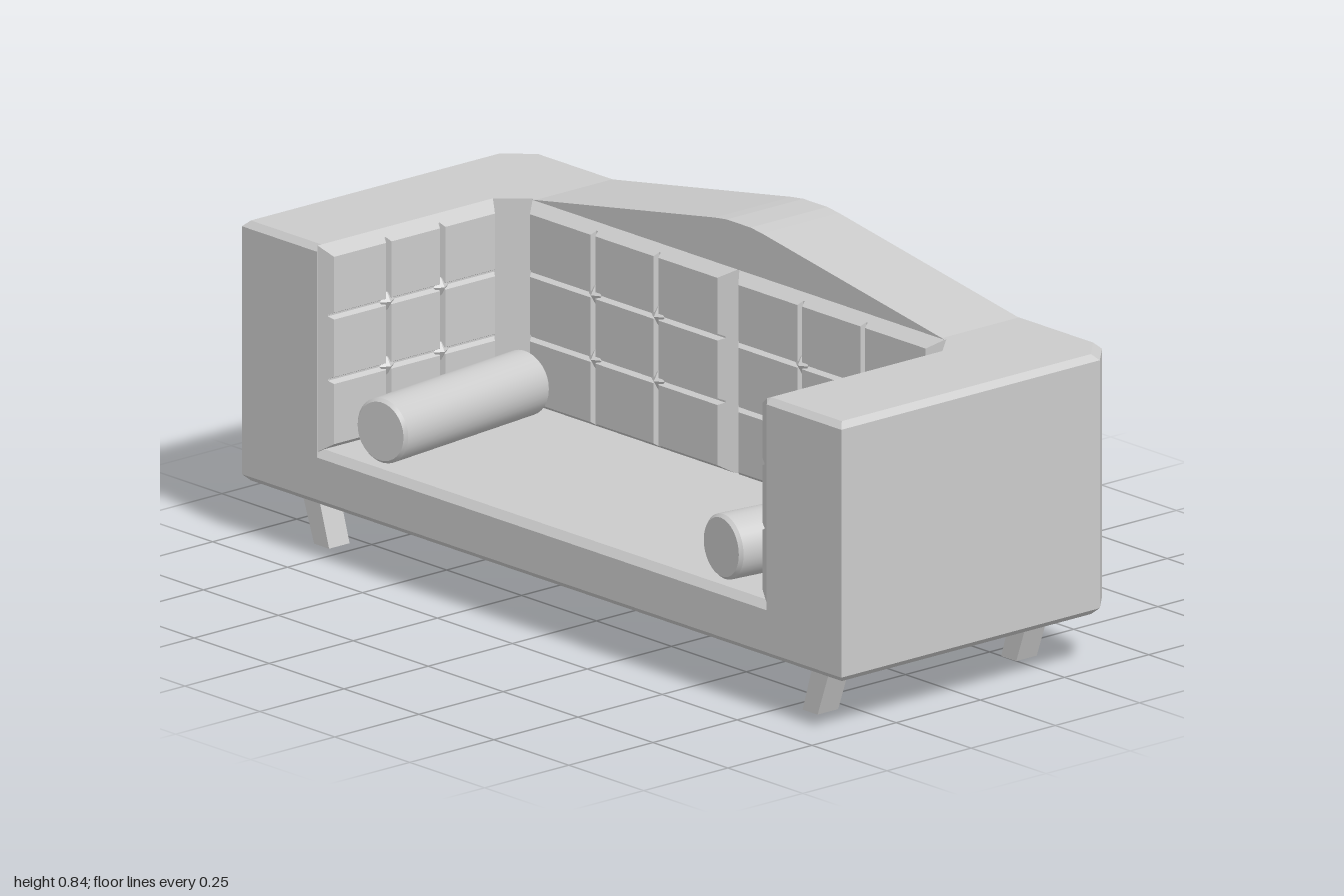
import * as THREE from 'three';
import { mergeGeometries, toCreasedNormals } from 'three/addons/utils/BufferGeometryUtils.js';

const material = new THREE.MeshStandardMaterial({ color: 0xcccccc, flatShading: true });
const smooth = new THREE.MeshStandardMaterial({ color: 0xcccccc });

function part(name, geometry, mat = material) {
  const mesh = new THREE.Mesh(geometry, mat);
  mesh.name = name;
  return mesh;
}

const shapeOf = pts => new THREE.Shape(pts.map(([x, y]) => new THREE.Vector2(x, y)));

// U-shaped plan (x, z); the outer edges are drawn in by d
function footprint(d) {
  const a = 1 - d, f = 0.413 - d, b = -0.415 + d, c = 0.06;
  return [[-0.75, f], [-a, f], [-a, b + c], [c - a, b], [a - c, b], [a, b + c], [a, f], [0.75, f],
    [0.75, -0.11], [0.69, -0.175], [-0.69, -0.175], [-0.75, -0.11]];
}

// Arms and back in one piece, with chamfered top and bottom rims
function frameGeometry() {
  const rings = [[0.125, 0.014], [0.139, 0], [0.716, 0], [0.73, 0.014]]
    .map(([y, d]) => footprint(d).map(([x, z]) => [x, y, z]));
  const n = rings[0].length, pos = [];
  for (let k = 0; k < rings.length - 1; k++) {
    for (let i = 0; i < n; i++) {
      const j = (i + 1) % n;
      const a = rings[k][i], b = rings[k][j], c = rings[k + 1][i], d = rings[k + 1][j];
      pos.push(...a, ...c, ...b, ...b, ...c, ...d);
    }
  }
  const walls = new THREE.BufferGeometry();
  walls.setAttribute('position', new THREE.Float32BufferAttribute(pos, 3));
  walls.computeVertexNormals();
  const plan = footprint(0.014);
  const caps = [
    new THREE.ShapeGeometry(shapeOf(plan.map(([x, z]) => [x, -z]))).rotateX(-Math.PI / 2).translate(0, 0.73, 0),
    new THREE.ShapeGeometry(shapeOf(plan)).rotateX(Math.PI / 2).translate(0, 0.125, 0),
  ].map(g => g.toNonIndexed().deleteAttribute('uv'));
  return mergeGeometries([walls, ...caps]);
}

// Box whose back rectangle [x0, x1, y0, y1, z] tapers to a front one
function taperedBox(back, front) {
  const g = new THREE.BoxGeometry(1, 1, 1);
  const p = g.attributes.position;
  for (let i = 0; i < p.count; i++) {
    const r = p.getZ(i) > 0 ? front : back;
    p.setXYZ(i, r[p.getX(i) > 0 ? 1 : 0], r[p.getY(i) > 0 ? 3 : 2], r[4]);
  }
  g.computeVertexNormals();
  return g;
}

// Tufted panel: us are the grid lines, in0 and in1 the edge bevels at its ends
function tuftedPanel(name, us, in0, in1) {
  const group = new THREE.Group();
  group.name = name;
  const vs = [0.25, 0.42, 0.57, 0.73], edge = 0.022, depth = 0.035, mid = 0.022, groove = 0.008;
  const t = mid / depth;
  const rect = (s, z) => [us[0] + in0 * s, us[3] - in1 * s, vs[0] + edge * s, vs[3] - edge * s, z];
  const base = rect(0, 0), middle = rect(t, mid), face = rect(1, depth);
  group.add(part('panelBacking', taperedBox(base, middle)));
  for (let i = 0; i < 3; i++) {
    for (let j = 0; j < 3; j++) {
      const cell = (outer, gap, z) => [
        i === 0 ? outer[0] : us[i] + gap, i === 2 ? outer[1] : us[i + 1] - gap,
        j === 0 ? outer[2] : vs[j] + gap, j === 2 ? outer[3] : vs[j + 1] - gap, z];
      group.add(part('pad', taperedBox(cell(middle, 0.002, mid), cell(face, groove, depth))));
    }
  }
  for (const u of us.slice(1, 3)) {
    for (const v of vs.slice(1, 3)) {
      const button = part('button', new THREE.OctahedronGeometry(1));
      button.scale.set(0.022, 0.022, 0.013);
      button.position.set(u, v, 0.028);
      group.add(button);
    }
  }
  return group;
}

export function createModel() {
  const model = new THREE.Group();
  model.name = 'sofa';
  model.add(part('frame', frameGeometry()));

  // Seat with a bevelled front lip
  const seat = new THREE.ExtrudeGeometry(shapeOf([[-0.18, 0.125], [0.399, 0.125], [0.413, 0.139],
    [0.413, 0.237], [0.398, 0.255], [-0.18, 0.255]]), { depth: 1.5, bevelEnabled: false });
  seat.rotateY(-Math.PI / 2).translate(0.75, 0, 0);
  model.add(part('seat', seat));

  // Raised crest along the back
  const crest = new THREE.ExtrudeGeometry(shapeOf([[-0.69, 0.728], [0.69, 0.728], [0.08, 0.831],
    [0.04, 0.836], [-0.04, 0.836], [-0.08, 0.831]]), { depth: 0.228, bevelEnabled: false });
  crest.translate(0, 0, -0.4);
  model.add(part('backCrest', crest));

  // Back panels meet in a V at the centre
  const backLines = [0, 0.24, 0.45, 0.69];
  const armLines = [-0.11, 0.07, 0.23, 0.411];
  const flip = lines => lines.map(v => -v).reverse();
  const backLeft = tuftedPanel('backPanelLeft', backLines, 0.035, 0.03);
  const backRight = tuftedPanel('backPanelRight', flip(backLines), 0.03, 0.035);
  backLeft.position.z = backRight.position.z = -0.175;
  const armLeft = tuftedPanel('armPanelLeft', armLines, 0.025, 0.018);
  armLeft.position.x = 0.75;
  armLeft.rotation.y = -Math.PI / 2;
  const armRight = tuftedPanel('armPanelRight', flip(armLines), 0.018, 0.025);
  armRight.position.x = -0.75;
  armRight.rotation.y = Math.PI / 2;
  model.add(backLeft, backRight, armLeft, armRight);

  // Bolster with softened rims
  const profile = [[0, -0.243], [0.068, -0.243], [0.075, -0.235], [0.075, 0.235], [0.068, 0.243], [0, 0.243]];
  const bolster = toCreasedNormals(
    new THREE.LatheGeometry(profile.map(([x, y]) => new THREE.Vector2(x, y)), 32).rotateX(Math.PI / 2), 0.5);

  for (const [side, s] of [['Left', 1], ['Right', -1]]) {
    const roll = part('bolster' + side, bolster, smooth);
    roll.position.set(s * 0.597, 0.335, 0.144);
    roll.rotation.y = -s * 0.118;
    model.add(roll);

    // Legs lean inward towards the floor
    for (const [end, z] of [['front', 0.28], ['back', -0.31]]) {
      const leg = new THREE.ExtrudeGeometry(shapeOf([[s * 0.79, 0], [s * 0.84, 0], [s * 0.887, 0.13],
        [s * 0.83, 0.13]]), { depth: 0.061, bevelEnabled: false });
      leg.translate(0, 0, z);
      model.add(part(end + 'Leg' + side, leg));
    }
  }
  return model;
}
